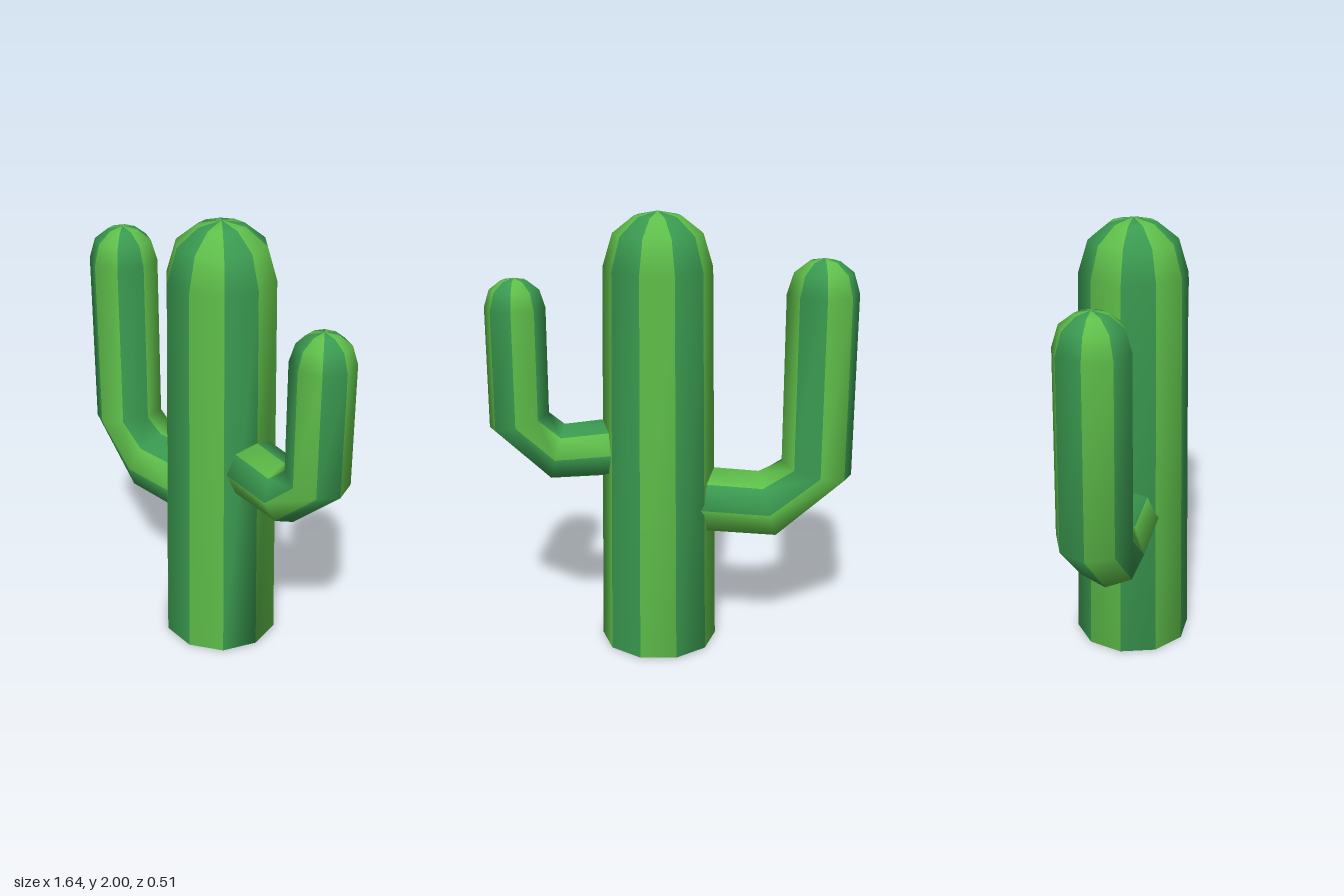
import * as THREE from 'three';

const darkGreen = new THREE.MeshStandardMaterial({ color: 0x3a9a50 });
const lightGreen = new THREE.MeshStandardMaterial({ color: 0x5fbf4a });

// Each ring is [x0, y0, x1, y1, rz]: the two ends of its diameter in the xy plane
// (angle 0 and angle 180) and its half depth in z. Faces alternate in colour.
function stripedTube(name, sides, rings, tip) {
  const positions = [];
  const stripes = [[], []];
  for (const [x0, y0, x1, y1, rz] of rings) {
    for (let k = 0; k < sides; k++) {
      const a = (k / sides) * Math.PI * 2;
      const c = Math.cos(a) / 2;
      positions.push((x0 + x1) / 2 + c * (x0 - x1), (y0 + y1) / 2 + c * (y0 - y1), rz * Math.sin(a));
    }
  }
  positions.push(tip[0], tip[1], 0);
  const apex = rings.length * sides;

  for (let k = 0; k < sides; k++) {
    const stripe = stripes[k % 2];
    const next = (k + 1) % sides;
    for (let i = 0; i < rings.length - 1; i++) {
      const low = i * sides, high = low + sides;
      stripe.push(low + k, high + k, low + next, low + next, high + k, high + next);
    }
    const last = apex - sides;
    stripe.push(last + k, apex, last + next);
  }
  // Closed start of the tube
  for (let k = 1; k < sides - 1; k++) stripes[0].push(0, k, k + 1);

  const geometry = new THREE.BufferGeometry();
  geometry.setAttribute('position', new THREE.Float32BufferAttribute(positions, 3));
  geometry.setIndex([...stripes[0], ...stripes[1]]);
  geometry.addGroup(0, stripes[0].length, 0);
  geometry.addGroup(stripes[0].length, stripes[1].length, 1);
  geometry.computeVertexNormals();
  const mesh = new THREE.Mesh(geometry, [darkGreen, lightGreen]);
  mesh.name = name;
  return mesh;
}

// Level ring around a vertical axis
const level = (x, y, r) => [x + r, y, x - r, y, r];

// Rounded end: rings of a dome from height y to y + h
const dome = (x, y, r, h) => [
  level(x, y, r),
  level(x, y + h * 0.6, r * 0.82),
  level(x, y + h * 0.91, r * 0.43),
];

export function createModel() {
  const group = new THREE.Group();
  group.name = 'cactus';

  // Tapered trunk
  group.add(stripedTube('trunk', 10,
    [level(0.057, 0, 0.267), ...dome(0.057, 1.76, 0.24, 0.24)], [0.057, 2]));

  // Short, higher arm
  group.add(stripedTube('leftArm', 8, [
    [0.2, 0.805, 0.2, 1.08, 0.137],
    [0.55, 0.785, 0.48, 1.045, 0.137],
    [0.82, 1.03, 0.55, 1.1, 0.137],
    ...dome(0.685, 1.58, 0.135, 0.13),
  ], [0.685, 1.71]));

  // Long, lower arm
  group.add(stripedTube('rightArm', 8, [
    [-0.05, 0.85, -0.05, 0.535, 0.162],
    [-0.4, 0.82, -0.49, 0.505, 0.162],
    [-0.505, 0.87, -0.825, 0.805, 0.162],
    ...dome(-0.665, 1.64, 0.16, 0.157),
  ], [-0.665, 1.797]));

  return group;
}
